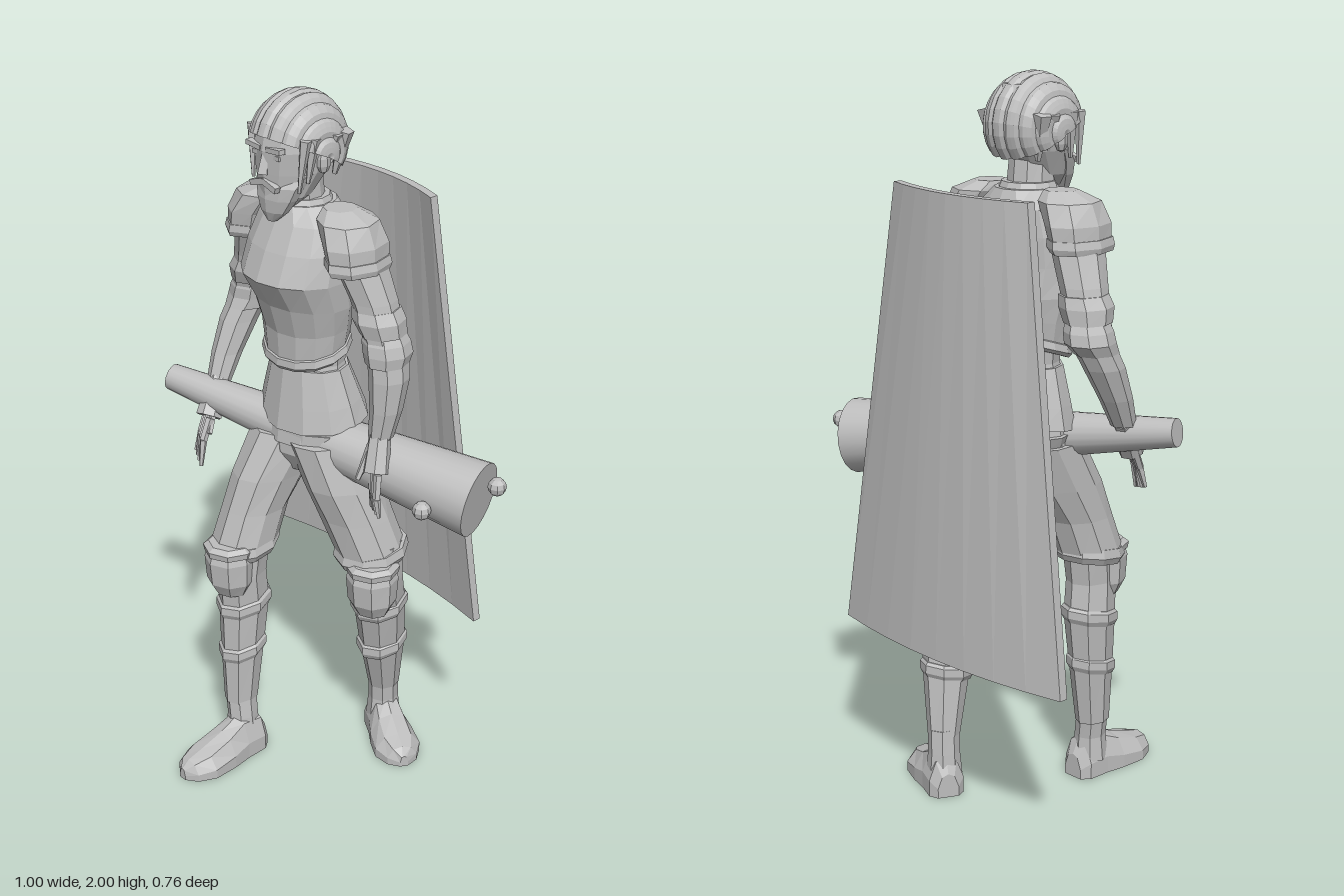
import * as THREE from 'three';

const grey = new THREE.MeshStandardMaterial({ color: 0xbebebe, side: THREE.DoubleSide });
grey.name = 'plain grey';
const CX = -0.08; // body centre line
const V = (a) => new THREE.Vector3(...a);

export function createModel() {
  const root = new THREE.Group();
  root.name = 'armouredFigure';

  const add = (name, geo, smooth = false) => {
    let g = geo;
    if (!smooth) {
      g = geo.index ? geo.toNonIndexed() : geo;
      g.computeVertexNormals();
    }
    const m = new THREE.Mesh(g, grey);
    m.name = name;
    root.add(m);
    return m;
  };

  // Faceted surface over a grid of points
  const grid = (nu, nv, fn, caps = false) => {
    const pos = [], idx = [];
    for (let j = 0; j <= nv; j++) for (let i = 0; i <= nu; i++) pos.push(...fn(i / nu, j / nv, i, j));
    const at = (i, j) => j * (nu + 1) + i;
    for (let j = 0; j < nv; j++) for (let i = 0; i < nu; i++) {
      idx.push(at(i, j), at(i + 1, j), at(i + 1, j + 1), at(i, j), at(i + 1, j + 1), at(i, j + 1));
    }
    if (caps) for (let i = 1; i < nu - 1; i++) {
      idx.push(at(0, 0), at(i + 1, 0), at(i, 0), at(0, nv), at(i, nv), at(i + 1, nv));
    }
    const g = new THREE.BufferGeometry();
    g.setAttribute('position', new THREE.Float32BufferAttribute(pos, 3));
    g.setIndex(idx);
    return g;
  };

  // Stack of level rings [x, y, z, rx, rz, frontDip], listed from the bottom up
  const loft = (name, rings, sides = 10, caps = true) => {
    const r = rings[0][1] > rings[rings.length - 1][1] ? [...rings].reverse() : rings;
    return add(name, grid(sides, r.length - 1, (u, v, i, j) => {
      const a = u * Math.PI * 2, [x, y, z, rx, rz, dip = 0] = r[j];
      return [x + rx * Math.sin(a), y - dip * Math.cos(a), z + rz * Math.cos(a)];
    }, caps));
  };

  // Tapered rod between two points
  const rod = (name, a, b, ra, rb, sides = 6, smooth = false) => {
    const p = V(a), d = V(b).sub(p);
    const m = add(name, new THREE.CylinderGeometry(rb, ra, d.length(), sides), smooth);
    m.position.copy(p).addScaledVector(d, 0.5);
    m.quaternion.setFromUnitVectors(new THREE.Vector3(0, 1, 0), d.normalize());
    return m;
  };

  const blob = (name, p, s, w = 8, h = 6) => {
    const m = add(name, new THREE.SphereGeometry(1, w, h));
    m.position.set(...p);
    m.scale.set(...s);
    return m;
  };
  const box = (name, p, s, rz = 0) => {
    const m = add(name, new THREE.BoxGeometry(...s));
    m.position.set(...p);
    m.rotation.z = rz;
    return m;
  };

  // Torso, breastplate and hip skirt
  loft('waist', [[CX, 1.02, -0.06, 0.15, 0.12], [CX, 1.16, -0.06, 0.13, 0.1], [CX, 1.25, -0.06, 0.112, 0.085], [CX, 1.36, -0.06, 0.12, 0.085]], 12);
  loft('pelvis', [[-0.06, 0.93, -0.05, 0.06, 0.07], [-0.07, 0.99, -0.06, 0.14, 0.115], [CX, 1.06, -0.07, 0.16, 0.125]], 12);
  loft('breastplate', [
    [CX, 1.29, -0.05, 0.128, 0.1, 0.035], [CX, 1.36, -0.05, 0.14, 0.105, 0.015], [CX, 1.43, -0.04, 0.155, 0.12],
    [CX, 1.51, -0.015, 0.162, 0.142], [CX, 1.59, -0.03, 0.158, 0.125], [CX, 1.66, -0.045, 0.14, 0.105],
    [CX, 1.705, -0.045, 0.085, 0.085]], 14);
  loft('breastplateRim', [[CX, 1.275, -0.05, 0.13, 0.1, 0.035], [CX, 1.285, -0.05, 0.14, 0.108, 0.035], [CX, 1.305, -0.05, 0.136, 0.106, 0.035], [CX, 1.31, -0.05, 0.125, 0.098, 0.035]], 14);
  loft('hipSkirt', [[CX, 1.08, -0.075, 0.172, 0.135, 0.02], [CX, 1.14, -0.07, 0.155, 0.12, 0.01], [CX, 1.24, -0.06, 0.122, 0.095]], 12);
  loft('collar', [[CX, 1.68, -0.04, 0.09, 0.088], [CX, 1.72, -0.04, 0.072, 0.07]], 12);
  loft('neck', [[CX, 1.66, -0.035, 0.065, 0.065], [CX, 1.8, -0.02, 0.058, 0.066]], 10);

  // Head and face
  loft('head', [
    [CX, 1.7, 0.04, 0.035, 0.035], [CX, 1.735, 0.02, 0.066, 0.072], [CX, 1.8, -0.005, 0.09, 0.102],
    [CX, 1.86, -0.015, 0.102, 0.116], [CX, 1.92, -0.025, 0.1, 0.115], [CX, 1.97, -0.03, 0.06, 0.08]], 12);
  loft('beard', [
    [CX, 1.668, 0.068, 0.014, 0.012], [CX, 1.695, 0.06, 0.045, 0.03], [CX, 1.73, 0.05, 0.066, 0.043],
    [CX, 1.765, 0.04, 0.08, 0.05], [CX, 1.8, 0.015, 0.093, 0.04]], 10);
  const nose = rod('nose', [CX, 1.8, 0.096], [CX, 1.865, 0.093], 0.018, 0.008, 4);
  nose.rotateX(-0.12);
  for (const s of [-1, 1]) {
    box('moustache', [CX + s * 0.024, 1.773, 0.093], [0.052, 0.016, 0.018], -s * 0.3);
    box('brow', [CX + s * 0.038, 1.868, 0.09], [0.055, 0.013, 0.02], s * 0.08);
    box('eye', [CX + s * 0.036, 1.848, 0.086], [0.03, 0.012, 0.009]);
    blob('ear', [CX + s * 0.1, 1.83, -0.02], [0.014, 0.032, 0.022], 6, 5);
    // Locks hanging before and behind the ears
    for (const [z, bottom, r] of [[0.055, 1.76, 0.016], [0.025, 1.78, 0.018], [-0.045, 1.8, 0.022], [-0.08, 1.78, 0.025]]) {
      rod('sideLock', [CX + s * (z < 0 ? 0.075 : 0.09), bottom, z], [CX + s * 0.103, 1.9, z - 0.01], r * 0.3, r, 5);
    }
  }
  // Ridged hair swept from brow to nape
  add('hair', grid(36, 14, (u, v, i) => {
    const a = (u - 0.5) * Math.PI, b = -1.3 + v * 3.55;
    const k = 1 - (i % 4 === 0 ? 0.045 : 0);
    return [CX + 0.125 * k * Math.sin(a), 1.865 + 0.135 * k * Math.cos(a) * Math.cos(b) - 0.02 * (1 - Math.cos(a)),
      -0.022 - 0.135 * k * Math.cos(a) * Math.sin(b)];
  }));

  // Arms, shoulder plates, elbow cuffs and hands
  for (const s of [-1, 1]) {
    const f = s < 0 ? 1 : 0; // the right forearm swings forward
    const X = (d) => CX + s * d;
    loft('upperArm', [[X(0.272), 1.36, -0.085, 0.052, 0.058], [X(0.235), 1.48, -0.075, 0.06, 0.066], [X(0.2), 1.57, -0.06, 0.065, 0.075], [X(0.165), 1.65, -0.05, 0.06, 0.07]], 8);
    loft('sleeveHem', [[X(0.262), 1.39, -0.085, 0.06, 0.066], [X(0.25), 1.43, -0.08, 0.07, 0.074], [X(0.24), 1.46, -0.08, 0.062, 0.068]], 8);
    loft('elbowCuff', [[X(0.278), 1.31, -0.085 + 0.015 * f, 0.056, 0.062], [X(0.275), 1.34, -0.09, 0.064, 0.07], [X(0.268), 1.37, -0.09, 0.062, 0.068], [X(0.264), 1.39, -0.09, 0.055, 0.06]], 8);
    loft('forearm', [[X(0.28), 1.1, -0.065 + 0.1 * f, 0.033, 0.036], [X(0.288), 1.18, -0.075 + 0.07 * f, 0.042, 0.047], [X(0.287), 1.27, -0.085 + 0.035 * f, 0.052, 0.058], [X(0.275), 1.35, -0.09, 0.054, 0.06]], 8);
    loft('shoulderPlate', [
      [X(0.2), 1.575, -0.05, 0.064, 0.095], [X(0.19), 1.63, -0.05, 0.072, 0.1], [X(0.16), 1.685, -0.05, 0.078, 0.085], [X(0.13), 1.71, -0.05, 0.045, 0.045]], 8);
    loft('shoulderRim', [[X(0.203), 1.56, -0.05, 0.066, 0.096], [X(0.2), 1.575, -0.05, 0.073, 0.103], [X(0.197), 1.595, -0.05, 0.07, 0.1]], 8);
    // Palm, four fingers and thumb
    const wr = [X(0.28), 1.11, f ? 0.035 : -0.062];
    const kn = f ? [-0.335, 1.015, 0.095] : [0.22, 1.01, -0.03];
    rod('palm', wr, kn, 0.03, 0.037, 7);
    for (let k = 0; k < 4; k++) {
      const t = k - 1.5;
      const base = [kn[0] + t * 0.016, kn[1] + 0.008, kn[2] + t * 0.01];
      const mid = f ? [base[0] + 0.005, 0.965, base[2] + 0.03] : [base[0] + 0.006, 0.95, base[2] + 0.01];
      const tip = [mid[0] + t * 0.004, mid[1] - 0.055 - 0.006 * k * f, mid[2] + (f ? 0.015 : -0.004)];
      rod('finger', base, mid, 0.012, 0.011, 5);
      rod('fingertip', mid, tip, 0.011, 0.006, 5);
    }
    rod('thumb', [wr[0] - s * 0.01, 1.075, wr[2] + 0.02], [kn[0] - s * 0.04, 0.985, kn[2] + 0.03], 0.015, 0.008, 5);
  }

  // Legs: rings from hip to knee, then knee to ankle
  const legs = [
    { thigh: [[-0.14, 1.03, -0.05, 0.105, 0.12], [-0.155, 0.9, 0.02, 0.093, 0.118], [-0.165, 0.8, 0.07, 0.086, 0.1], [-0.172, 0.69, 0.108, 0.09, 0.1]],
      shin: [[-0.165, 0.72, 0.11, 0.07, 0.075], [-0.165, 0.6, 0.125, 0.064, 0.075], [-0.17, 0.5, 0.115, 0.066, 0.078], [-0.168, 0.35, 0.125, 0.056, 0.068], [-0.165, 0.17, 0.137, 0.044, 0.052]],
      pad: [-0.165, 0.63, 0.165], ankle: [-0.155, 0.14], foot: [-0.145, 0.08, 0, 0.3] },
    { thigh: [[-0.01, 1.03, -0.06, 0.1, 0.12], [0.035, 0.9, -0.08, 0.1, 0.115], [0.062, 0.8, -0.105, 0.105, 0.105], [0.1, 0.69, -0.13, 0.1, 0.103]],
      shin: [[0.115, 0.72, -0.13, 0.075, 0.08], [0.12, 0.6, -0.135, 0.07, 0.08], [0.1, 0.5, -0.167, 0.074, 0.076], [0.085, 0.35, -0.195, 0.063, 0.07], [0.06, 0.17, -0.23, 0.044, 0.047]],
      pad: [0.15, 0.6, -0.09], ankle: [0.055, -0.235], foot: [0.008, -0.262, 1.1, 0.265] },
  ];
  for (const { thigh, shin, pad, ankle, foot } of legs) {
    loft('thigh', thigh, 10);
    const [kx, , kz, krx, krz] = thigh[3];
    loft('trouserHem', [[kx, 0.665, kz, krx * 0.95, krz * 0.95, 0.015], [kx, 0.685, kz, krx + 0.006, krz + 0.006, 0.015], [kx, 0.71, kz, krx, krz, 0.015]], 10);
    loft('greave', shin, 8);
    for (const k of [2, 3]) {
      const [x, y, z, rx, rz] = shin[k];
      loft('greaveBand', [[x, y - 0.025, z, rx, rz, 0.015], [x, y - 0.01, z, rx + 0.008, rz + 0.008, 0.015], [x, y + 0.012, z, rx + 0.007, rz + 0.007, 0.015], [x, y + 0.02, z, rx, rz, 0.015]], 8);
    }
    const [px, py, pz] = pad;
    loft('kneePad', [[px, py - 0.08, pz, 0.05, 0.045], [px, py - 0.04, pz, 0.07, 0.068], [px, py + 0.03, pz, 0.073, 0.075], [px, py + 0.075, pz, 0.06, 0.06]], 8);
    loft('kneePadRim', [[px, py + 0.05, pz, 0.074, 0.075], [px, py + 0.068, pz, 0.077, 0.078], [px, py + 0.08, pz, 0.062, 0.062]], 8);
    loft('ankle', [[ankle[0], 0.05, ankle[1], 0.05, 0.052], [ankle[0], 0.12, ankle[1], 0.043, 0.046], [shin[4][0], 0.19, shin[4][2], 0.042, 0.047]], 8);

    // Shoe as cross-sections [along, half width, height] from heel to toe
    const secs = [[0, 0.03, 0.07], [0.08, 0.05, 0.115], [0.3, 0.054, 0.125], [0.5, 0.064, 0.095], [0.75, 0.068, 0.07], [0.92, 0.045, 0.055], [1, 0.012, 0.035]];
    const outline = [[-1, 0], [1, 0], [1, 0.4], [0.6, 0.88], [0, 1], [-0.6, 0.88], [-1, 0.4], [-1, 0]];
    const shoe = add('shoe', grid(7, secs.length - 1, (u, v, i, j) => {
      const [t, w, h] = secs[j];
      return [outline[i][0] * w, outline[i][1] * h, t * foot[3]];
    }, true));
    shoe.position.set(foot[0], 0, foot[1]);
    shoe.rotation.y = foot[2];
  }

  // Tapered club with round studs
  rod('club', [-0.485, 1.09, 0.105], [0.441, 0.955, -0.2], 0.038, 0.106, 20, true);
  for (const p of [[0.37, 0.947, -0.055], [0.478, 1.0, -0.228], [0.203, 0.93, -0.24]]) {
    blob('stud', p, [0.026, 0.026, 0.026], 8, 6);
  }

  // Stiff curved cape: closed slab, wider and further back at the hem
  const N = 8;
  const capePoint = (t, low, back) => {
    const half = low ? 0.418 : 0.246, k = 2 * t - 1;
    return [CX + k * half, low ? 0.475 : 1.715, (low ? -0.313 : -0.262) - 0.045 * (1 - k * k) - (back ? 0.025 : 0)];
  };
  const corners = [[1, 0], [0, 0], [0, 1], [1, 1], [1, 0]];
  add('cape', grid(4, N, (u, v, i) => capePoint(v, ...corners[i]), true));

  return root;
}
